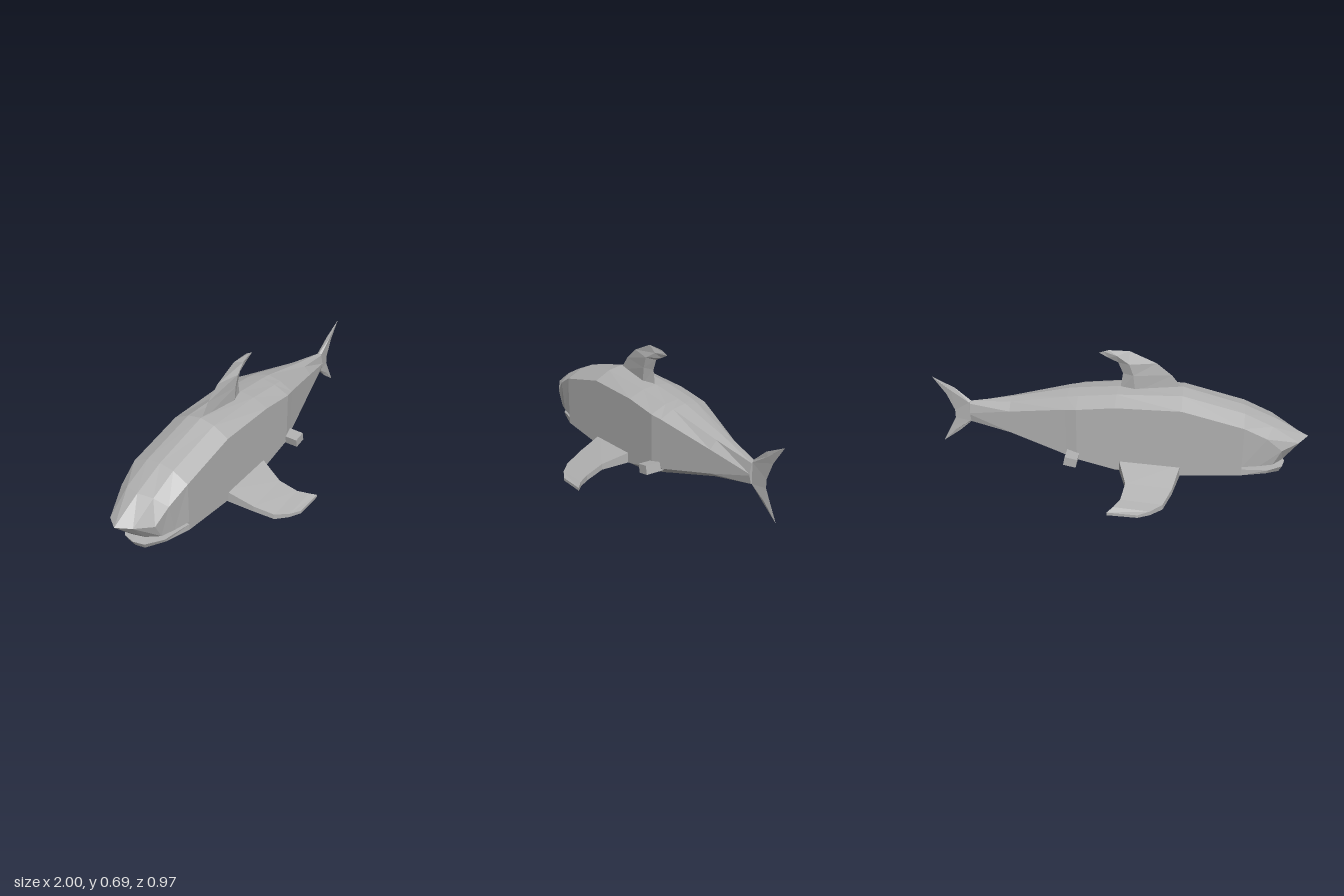
import * as THREE from 'three';

const skin = new THREE.MeshStandardMaterial({ color: 0xb0b0b0 });
skin.name = 'grey skin';

// Faceted solid through a list of closed rings of [x, y, z] points
function loft(name, rings) {
  const tris = [];
  const n = rings[0].length;
  for (let i = 0; i + 1 < rings.length; i++) {
    for (let j = 0; j < n; j++) {
      const k = (j + 1) % n;
      const a = rings[i][j], b = rings[i][k], c = rings[i + 1][k], d = rings[i + 1][j];
      tris.push([a, b, c], [a, c, d]);
    }
  }
  const first = rings[0], last = rings[rings.length - 1];
  for (let j = 1; j + 1 < n; j++) {
    tris.push([first[0], first[j + 1], first[j]], [last[0], last[j], last[j + 1]]);
  }
  // Turn the faces outward using the signed volume about a point of the solid
  const o = new THREE.Vector3(...first[0]);
  let volume = 0;
  for (const t of tris) {
    const [a, b, c] = t.map((p) => new THREE.Vector3(...p).sub(o));
    volume += a.dot(b.cross(c));
  }
  if (volume < 0) tris.forEach((t) => t.reverse());
  const geometry = new THREE.BufferGeometry();
  geometry.setAttribute('position', new THREE.Float32BufferAttribute(tris.flat(2), 3));
  geometry.computeVertexNormals();
  const mesh = new THREE.Mesh(geometry, skin);
  mesh.name = name;
  return mesh;
}

// Full ring from half a section, running from top centre to bottom centre
const mirrorRing = (half) => [
  ...half,
  ...half.slice(1, -1).reverse().map(([x, y, z]) => [x, y, -z]),
];

// Collapses the upper edge of a section on to its lower edge, closing the front
const closeFront = (half) => {
  const low = half.slice(3);
  return [...low.slice().reverse(), ...low];
};

// Upright fin with a diamond section: leading edge, ridge, trailing edge
const uprightFin = (name, sections) => loft(name, sections.map(([lead, trail, ridge, t]) => {
  const x = lead[0] + (trail[0] - lead[0]) * ridge;
  const y = lead[1] + (trail[1] - lead[1]) * ridge;
  return [[...lead, 0], [x, y, t], [...trail, 0], [x, y, -t]];
}));

export function createModel() {
  const group = new THREE.Group();
  group.name = 'shark';

  // Trunk: x, top, top edge, shoulder, flank, belly heights, then half widths
  const trunk = [
    [-0.66, 0.415, 0.403, 0.36, 0.085, 0.055, 0.08, 0.165],
    [-0.34, 0.5, 0.485, 0.44, 0.062, 0.015, 0.08, 0.165],
    [0, 0.485, 0.475, 0.44, 0.075, 0.018, 0.08, 0.165],
    [0.2, 0.467, 0.455, 0.418, 0.125, 0.078, 0.08, 0.165],
    [0.26, 0.46, 0.446, 0.408, 0.14, 0.097, 0.075, 0.15],
    [0.57, 0.392, 0.38, 0.34, 0.215, 0.19, 0.04, 0.078],
    [0.8, 0.352, 0.34, 0.288, 0.28, 0.235, 0.014, 0.025],
  ];
  group.add(loft('body', trunk.map(([x, top, edge, shoulder, flank, belly, w, W]) => mirrorRing([
    [x, top, 0], [x, edge, w], [x, shoulder, W], [x, flank, W], [x, belly, w], [x, belly, 0],
  ]))));

  // Head above the mouth, with an undercut snout
  const snout = [
    [-1, 0.25, 0], [-0.95, 0.243, 0.07], [-0.86, 0.22, 0.125],
    [-0.82, 0.137, 0.125], [-0.87, 0.137, 0.065], [-0.89, 0.137, 0],
  ];
  group.add(loft('upperHead', [
    [[-0.66, 0.415, 0], [-0.66, 0.403, 0.08], [-0.66, 0.36, 0.165],
      [-0.66, 0.135, 0.165], [-0.66, 0.135, 0.08], [-0.66, 0.135, 0]],
    [[-0.83, 0.342, 0], [-0.81, 0.335, 0.08], [-0.78, 0.296, 0.146],
      [-0.75, 0.136, 0.146], [-0.77, 0.136, 0.07], [-0.78, 0.136, 0]],
    snout, closeFront(snout),
  ].map(mirrorRing)));

  // Lower jaw
  const chin = [
    [-0.89, 0.09, 0], [-0.875, 0.09, 0.06], [-0.8, 0.1, 0.125],
    [-0.79, 0.08, 0.122], [-0.86, 0.055, 0.05], [-0.87, 0.055, 0],
  ];
  group.add(loft('lowerJaw', [
    [[-0.66, 0.12, 0], [-0.66, 0.12, 0.08], [-0.66, 0.12, 0.165],
      [-0.66, 0.085, 0.165], [-0.66, 0.055, 0.08], [-0.66, 0.055, 0]],
    chin, closeFront(chin),
  ].map(mirrorRing)));

  // Back fin and tail fin: leading point, trailing point, ridge position, half thickness
  group.add(uprightFin('dorsalFin', [
    [[-0.35, 0.47], [-0.01, 0.465], 0.76, 0.025],
    [[-0.28, 0.56], [-0.025, 0.56], 0.78, 0.025],
    [[-0.2, 0.625], [0, 0.62], 0.7, 0.025],
    [[-0.06, 0.687], [0.05, 0.644], 0.6, 0.012],
    [[0.05, 0.687], [0.1, 0.67], 0.5, 0.001],
  ]));
  group.add(uprightFin('tailFin', [
    [[0.96, 0.103], [0.966, 0.1], 0.5, 0.001],
    [[0.87, 0.168], [0.918, 0.19], 0.4, 0.006],
    [[0.795, 0.235], [0.89, 0.245], 0.1, 0.013],
    [[0.795, 0.352], [0.89, 0.29], 0.1, 0.013],
    [[0.88, 0.425], [0.93, 0.385], 0.4, 0.007],
    [[0.99, 0.48], [1, 0.485], 0.5, 0.001],
  ]));

  // Side fins: z, leading x, trailing x, lead top, lead bottom, trail top, trail bottom
  const pectoral = [
    [0.14, -0.345, -0.015, 0.118, 0.055, 0.135, 0.075],
    [0.3, -0.31, -0.07, 0.062, 0.03, 0.078, 0.045],
    [0.4, -0.27, -0.055, 0.03, 0.001, 0.046, 0.016],
    [0.455, -0.21, -0.025, 0.022, 0, 0.035, 0.008],
    [0.485, -0.15, 0.005, 0.015, 0, 0.02, 0.004],
  ];
  for (const side of [1, -1]) {
    const label = side > 0 ? 'front' : 'back';
    group.add(loft(label + 'PectoralFin', pectoral.map(([z, lead, trail, lt, lb, tt, tb]) => [
      [lead, lt, z * side], [trail, tt, z * side], [trail, tb, z * side], [lead, lb, z * side],
    ])));
    const pelvic = new THREE.Mesh(new THREE.BoxGeometry(0.067, 0.048, 0.11), skin);
    pelvic.name = label + 'PelvicFin';
    pelvic.position.set(0.225, 0.145, 0.18 * side);
    pelvic.rotation.z = 0.2;
    group.add(pelvic);
  }
  return group;
}
